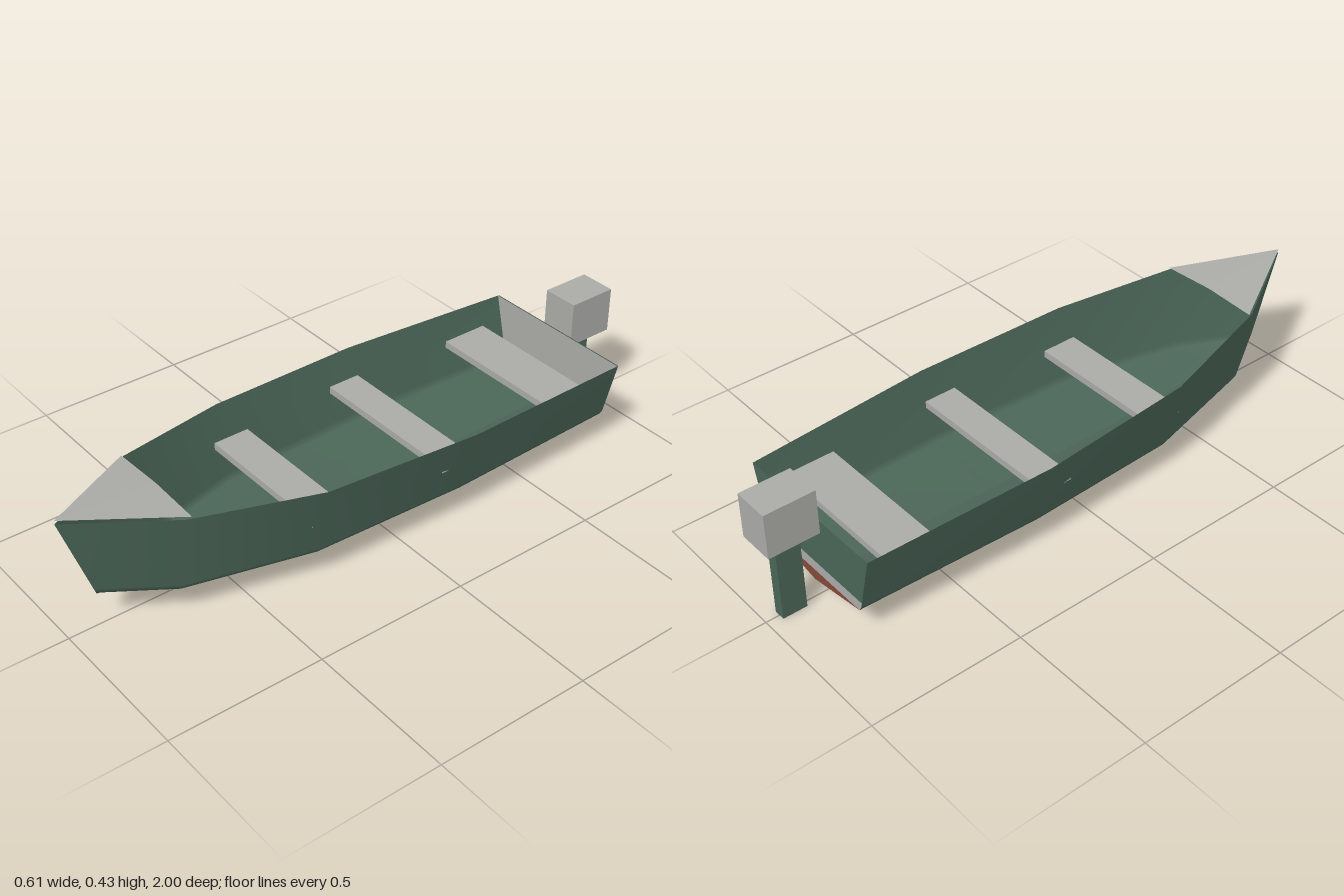
import * as THREE from 'three';

const green = new THREE.MeshStandardMaterial({ name: 'dark green', color: 0x4a6557, side: THREE.DoubleSide });
const grey = new THREE.MeshStandardMaterial({ name: 'light grey', color: 0xaaaaa7 });
const red = new THREE.MeshStandardMaterial({ name: 'bottom red', color: 0x85483a });

// Hull stations from stern to bow: sheer, upper chine, lower chine, keel as [x, y, z]
const stations = [
  [[0.275, 0.31, -0.83], [0.228, 0.118, -0.83], [0.217, 0.1, -0.83], [0, 0.062, -0.83]],
  [[0.303, 0.328, -0.22], [0.25, 0.118, -0.22], [0.237, 0.098, -0.22], [0, 0.053, -0.22]],
  [[0.275, 0.345, 0.3], [0.23, 0.118, 0.3], [0.217, 0.098, 0.3], [0, 0.053, 0.3]],
  [[0.175, 0.379, 0.7], [0.13, 0.122, 0.7], [0.118, 0.102, 0.7], [0, 0.073, 0.7]],
  [[0, 0.4, 1], [0, 0.13, 0.907], [0, 0.114, 0.901], [0, 0.11, 0.9]],
];

function mesh(name, geometry, material, x = 0, y = 0, z = 0) {
  const m = new THREE.Mesh(geometry, material);
  m.name = name;
  m.position.set(x, y, z);
  return m;
}

function box(name, material, x0, x1, y0, y1, z0, z1) {
  return mesh(name, new THREE.BoxGeometry(x1 - x0, y1 - y0, z1 - z0), material,
    (x0 + x1) / 2, (y0 + y1) / 2, (z0 + z1) / 2);
}

// One smooth side of the hull, lofted through the stations
function hullHalf(side) {
  const points = stations.flat().flatMap(([x, y, z]) => [x * side, y, z]);
  const index = [];
  const n = 4;
  for (let i = 0; i < stations.length - 1; i++) {
    for (let j = 0; j < n - 1; j++) {
      const a = i * n + j, b = a + 1, c = a + n, d = c + 1;
      if (side > 0) index.push(a, c, b, b, c, d);
      else index.push(a, b, c, b, d, c);
    }
  }
  const g = new THREE.BufferGeometry();
  g.setAttribute('position', new THREE.Float32BufferAttribute(points, 3));
  g.setIndex(index);
  g.computeVertexNormals();
  return g;
}

// Flat panel symmetric about the centreline, from its right-hand outline
function panel(half) {
  const pts = [...half, ...half.slice().reverse().map(([x, y]) => [-x, y])];
  return new THREE.ShapeGeometry(new THREE.Shape(pts.map(([x, y]) => new THREE.Vector2(x, y))));
}

export function createModel() {
  const boat = new THREE.Group();
  boat.name = 'motorBoat';

  boat.add(mesh('hullLeft', hullHalf(1), green), mesh('hullRight', hullHalf(-1), green));

  // Transom: painted bands outside, plain lining inside
  const bands = [
    ['transomUpper', green, [[0.232, 0.135], [0.275, 0.31]]],
    ['transomStripe', grey, [[0.217, 0.1], [0.228, 0.118], [0.232, 0.135]]],
    ['transomBottom', red, [[0.0005, 0.062], [0.217, 0.1]]],
  ];
  for (const [name, material, outline] of bands) {
    const band = mesh(name, panel(outline), material, 0, 0, -0.83);
    band.rotation.y = Math.PI;
    boat.add(band);
  }
  boat.add(mesh('transomLining',
    panel([[0.0005, 0.062], [0.217, 0.1], [0.228, 0.118], [0.275, 0.31]]), grey, 0, 0, -0.826));

  // Bench seats: half width, back and front
  const seats = [[0.25, -0.74, -0.58], [0.27, -0.23, -0.12], [0.241, 0.215, 0.335]];
  seats.forEach(([w, z0, z1], i) => boat.add(box(`seat${i + 1}`, grey, -w, w, 0.215, 0.238, z0, z1)));

  // Foredeck: two facets meeting at a low ridge
  const deck = new THREE.BufferGeometry();
  deck.setAttribute('position', new THREE.Float32BufferAttribute([
    0, 0.412, 1, 0.178, 0.384, 0.685, 0, 0.393, 0.685,
    0, 0.412, 1, 0, 0.393, 0.685, -0.178, 0.384, 0.685,
  ], 3));
  deck.computeVertexNormals();
  boat.add(mesh('foredeck', deck, grey));

  // Outboard motor
  boat.add(box('motorCover', grey, -0.061, 0.061, 0.275, 0.425, -1, -0.835));
  boat.add(box('motorLeg', green, -0.019, 0.019, 0, 0.275, -0.955, -0.875));

  return boat;
}
